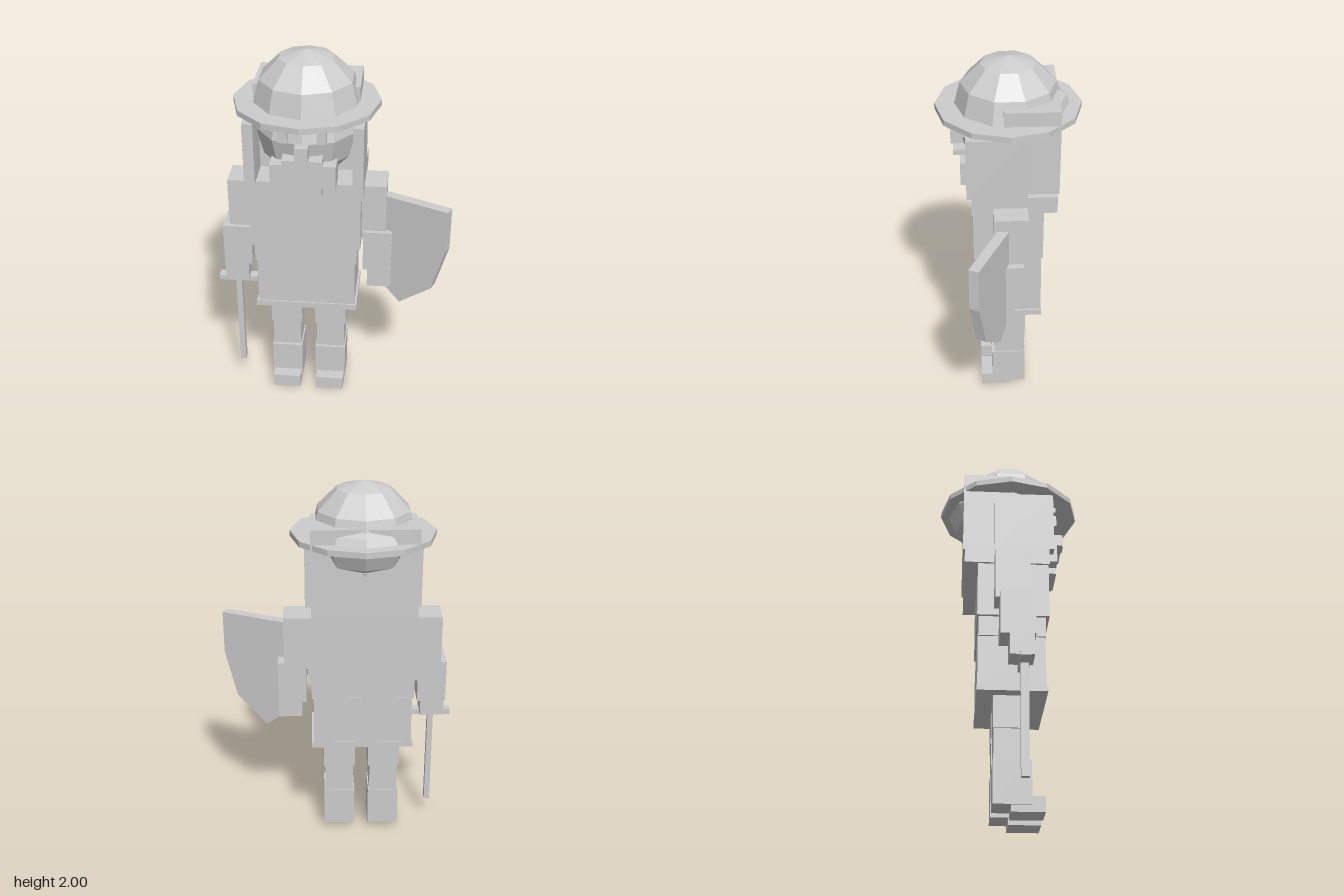
import * as THREE from 'three';

export function createModel() {
  const model = new THREE.Group();
  model.name = 'soldier';
  const stone = new THREE.MeshStandardMaterial({ color: 0xcccccc });
  stone.name = 'plain grey';
  stone.flatShading = true;

  // Everything is laid out around the body axis; the shield makes it off-centre.
  const body = new THREE.Group();
  body.name = 'body';
  body.position.x = -0.127;
  model.add(body);

  const add = (name, geometry) => {
    const mesh = new THREE.Mesh(geometry, stone);
    mesh.name = name;
    body.add(mesh);
    return mesh;
  };
  // Box given by its minimum and maximum on each axis
  const box = (name, x0, x1, y0, y1, z0, z1) => {
    const mesh = add(name, new THREE.BoxGeometry(x1 - x0, y1 - y0, z1 - z0));
    mesh.position.set((x0 + x1) / 2, (y0 + y1) / 2, (z0 + z1) / 2);
    return mesh;
  };
  const pair = (name, x0, x1, ...rest) => {
    box(name + 'Left', x0, x1, ...rest);
    box(name + 'Right', -x1, -x0, ...rest);
  };
  // Ten-sided ball with corners on the z axis
  const ball = (name, rx, ry, rz, y, z, half = false) => {
    const g = new THREE.SphereGeometry(1, 10, half ? 3 : 6, 0, Math.PI * 2, 0, half ? Math.PI / 2 : Math.PI);
    g.rotateY(Math.PI / 2).scale(rx, ry, rz).translate(0, y, z);
    return add(name, g);
  };

  // Helmet and head
  ball('helmetDome', 0.28, 0.28, 0.28, 1.72, 0, true);
  const brim = add('helmetBrim', new THREE.CylinderGeometry(0.373, 0.373, 0.03, 12));
  brim.position.y = 1.73;
  ball('head', 0.263, 0.28, 0.255, 1.6, 0);
  ball('hair', 0.275, 0.16, 0.28, 1.705, -0.05);
  box('neckGuard', -0.268, 0.268, 1.36, 1.82, -0.25, 0.03).scale.y = 1;
  pair('cheekGuard', 0.245, 0.3, 1.355, 1.685, -0.09, 0.22);

  // Face
  pair('brow', 0.055, 0.137, 1.685, 1.712, 0.15, 0.25);
  pair('eye', 0.072, 0.118, 1.61, 1.675, 0.15, 0.255);
  box('nose', -0.033, 0.033, 1.53, 1.605, 0.2, 0.298);
  box('mouth', -0.1, 0.1, 1.5, 1.53, 0.18, 0.285);
  box('beard', -0.165, 0.165, 1.36, 1.487, 0.13, 0.25);
  box('beardTip', -0.095, 0.095, 1.326, 1.36, 0.13, 0.25);

  // Torso, from the collar down to the hem
  box('collar', -0.3, 0.3, 1.267, 1.36, -0.24, 0.195);
  box('chest', -0.288, 0.288, 0.975, 1.3, -0.172, 0.19);
  box('bib', -0.095, 0.095, 1.12, 1.34, 0.18, 0.198);
  box('waist', -0.27, 0.27, 0.87, 0.975, -0.165, 0.172);
  box('skirt', -0.26, 0.26, 0.6, 0.875, -0.167, 0.17);
  box('hem', -0.272, 0.272, 0.577, 0.61, -0.17, 0.178);

  // Arms
  pair('upperArm', 0.28, 0.415, 1.01, 1.298, -0.088, 0.085);
  pair('forearm', 0.298, 0.45, 0.8, 1.032, -0.065, 0.108);
  pair('hand', 0.322, 0.45, 0.69, 0.805, -0.02, 0.1);

  // Legs
  for (const [side, x] of [['left', 0.122], ['right', -0.122]]) {
    box(side + 'Thigh', x - 0.086, x + 0.086, 0.41, 0.59, -0.087, 0.087);
    box(side + 'Knee', x - 0.077, x + 0.077, 0.25, 0.415, -0.084, 0.084);
    box(side + 'Boot', x - 0.084, x + 0.084, 0.035, 0.252, -0.087, 0.1);
    box(side + 'Shoe', x - 0.077, x + 0.077, 0, 0.076, 0, 0.163);
  }

  // Sword, pointing down from the right hand
  box('swordGuard', -0.492, -0.28, 0.668, 0.698, 0.028, 0.08);
  box('swordBlade', -0.402, -0.371, 0.11, 0.67, 0.034, 0.074);

  // Shield on the left arm, turned outward
  const outline = [[-0.25, 0.635], [-0.25, 0.4], [-0.18, 0.15], [0, 0], [0.18, 0.15], [0.25, 0.4], [0.25, 0.635]];
  const shape = new THREE.Shape(outline.map(([x, y]) => new THREE.Vector2(x, y)));
  const shieldGeometry = new THREE.ExtrudeGeometry(shape, { depth: 0.054, bevelEnabled: false });
  shieldGeometry.translate(0, 0, -0.027);
  const shield = add('shield', shieldGeometry);
  shield.position.set(0.512, 0.6, 0.085);
  shield.rotation.y = THREE.MathUtils.degToRad(-25);

  return model;
}
